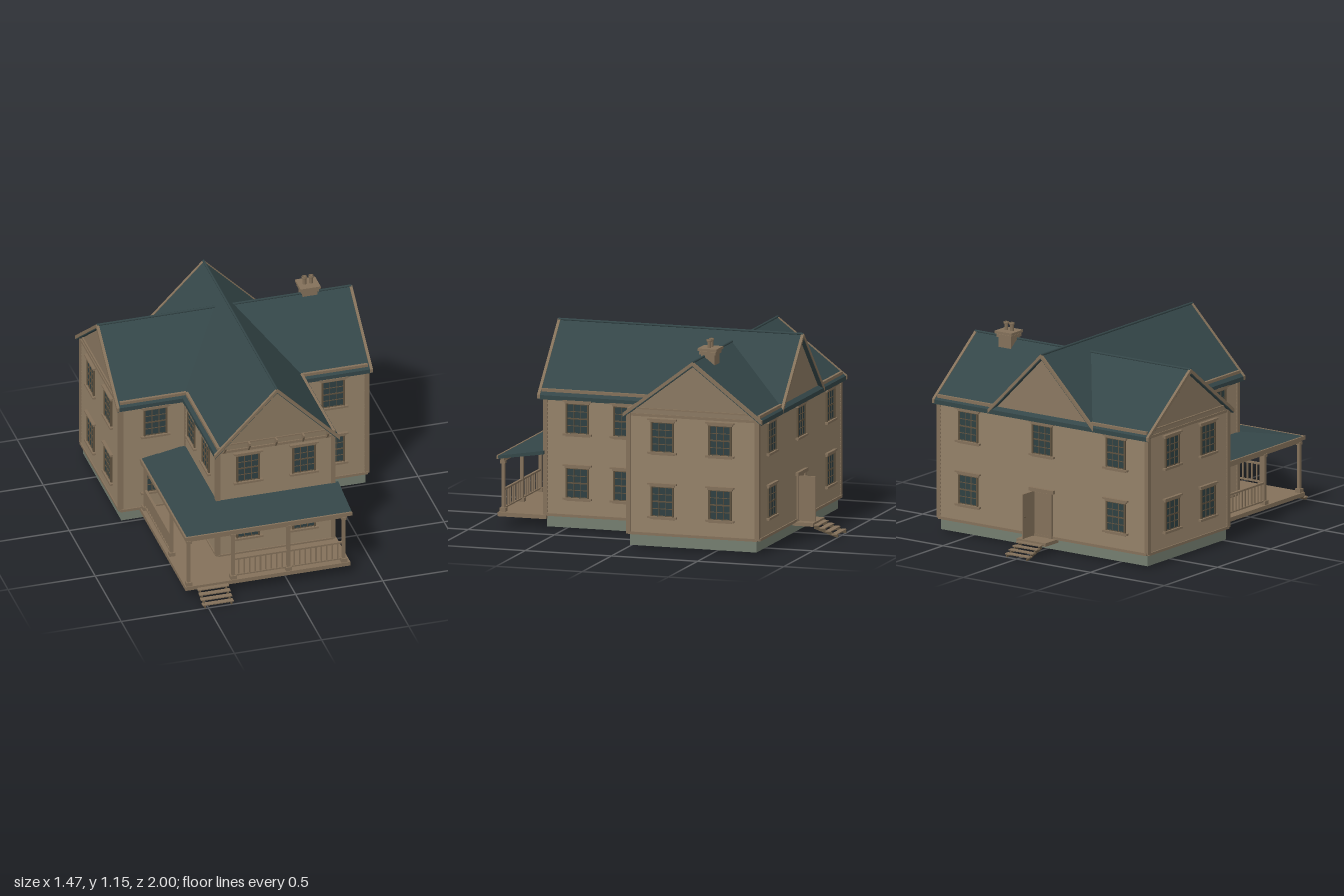
import * as THREE from 'three';

const mat = (name, color) => {
  const m = new THREE.MeshStandardMaterial({ color });
  m.name = name;
  return m;
};

export function createModel() {
  const siding = mat('siding', 0x8a7861);
  const trim = mat('trim', 0x84715a);
  const sash = mat('sash', 0x5f523f);
  const roof = mat('roof slate', 0x344648);
  const glass = mat('glass', 0x2f4042);
  const stone = mat('foundation', 0x747e70);
  const house = new THREE.Group();
  house.name = 'house';

  const add = (parent, name, geo, material) => {
    const m = new THREE.Mesh(geo, material);
    m.name = name;
    parent.add(m);
    return m;
  };
  // box given by its min and max along each axis
  const box = (parent, name, material, x0, x1, y0, y1, z0, z1) => {
    const m = add(parent, name, new THREE.BoxGeometry(x1 - x0, y1 - y0, z1 - z0), material);
    m.position.set((x0 + x1) / 2, (y0 + y1) / 2, (z0 + z1) / 2);
    return m;
  };
  const extrude = (pts, depth) => new THREE.ExtrudeGeometry(
    new THREE.Shape(pts.map(p => new THREE.Vector2(...p))), { depth, bevelEnabled: false });

  // foundation and wall cores
  box(house, 'mainFoundation', stone, -0.7, 0.7, 0.01, 0.08, -0.74, -0.005);
  box(house, 'frontFoundation', stone, -0.32, 0.32, 0.01, 0.08, -0.02, 0.605);
  box(house, 'mainWalls', siding, -0.705, 0.705, 0.075, 0.745, -0.75, 0);
  box(house, 'frontWalls', siding, -0.33, 0.33, 0.075, 0.745, -0.02, 0.61);

  // window on a wall whose outside is local +z
  const windowUnit = (parent, x, y) => {
    const g = new THREE.Group();
    g.name = 'window';
    g.position.set(x, y, 0.008);
    parent.add(g);
    box(g, 'pane', glass, -0.06, 0.06, -0.083, 0.083, 0, 0.004);
    for (const s of [-1, 1]) box(g, 'jamb', sash, s * 0.062 - 0.005, s * 0.062 + 0.005, -0.085, 0.085, 0, 0.01);
    for (const s of [-1, 1]) box(g, 'mullion', sash, s * 0.02 - 0.002, s * 0.02 + 0.002, -0.083, 0.083, 0, 0.007);
    for (const r of [-2, -1, 0, 1, 2]) {
      const h = r === 0 ? 0.004 : 0.002;
      box(g, 'glazingBar', sash, -0.06, 0.06, r * 0.04 - h, r * 0.04 + h, 0, 0.007);
    }
    box(g, 'header', trim, -0.072, 0.072, 0.083, 0.094, 0, 0.012);
    box(g, 'headerCap', trim, -0.083, 0.083, 0.094, 0.103, 0, 0.018);
    box(g, 'sill', trim, -0.083, 0.083, -0.094, -0.083, 0, 0.018);
    box(g, 'apron', trim, -0.068, 0.068, -0.1, -0.094, 0, 0.01);
  };

  // door standing open; hinge is -1 or 1 along local x
  const doorUnit = (parent, x, hinge) => {
    const g = new THREE.Group();
    g.name = 'door';
    g.position.set(x, 0.075, 0.008);
    parent.add(g);
    box(g, 'doorway', trim, -0.055, 0.055, 0, 0.25, 0, 0.004);
    for (const s of [-1, 1]) box(g, 'doorJamb', trim, s * 0.062 - 0.009, s * 0.062 + 0.009, 0, 0.26, 0, 0.012);
    box(g, 'doorHeader', trim, -0.083, 0.083, 0.255, 0.275, 0, 0.018);
    box(g, 'doorLeaf', trim, hinge * 0.057 - 0.004, hinge * 0.057 + 0.004, 0.003, 0.255, 0.005, 0.108);
    const knob = add(g, 'doorKnob', new THREE.SphereGeometry(0.005, 8, 6), sash);
    knob.position.set(hinge * 0.05, 0.125, 0.098);
  };

  // clapboard wall: saw-tooth profile drawn out along the wall
  const ROWS = 30, LOW = 0.085, HIGH = 0.74;
  const wall = (name, x, z, turn, length, upper, lower, door) => {
    const g = new THREE.Group();
    g.name = name;
    g.position.set(x, 0, z);
    g.rotation.y = turn;
    house.add(g);
    const pts = [[-0.004, LOW]], step = (HIGH - LOW) / ROWS;
    for (let i = 0; i < ROWS; i++) pts.push([0.008, LOW + i * step], [0.003, LOW + (i + 1) * step]);
    pts.push([-0.004, HIGH]);
    add(g, 'clapboards', extrude(pts, length).translate(0, 0, -length / 2).rotateY(-Math.PI / 2), siding);
    box(g, 'waterTable', trim, -length / 2, length / 2, 0.073, 0.088, 0, 0.014);
    box(g, 'frieze', trim, -length / 2, length / 2, 0.735, 0.75, 0, 0.01);
    upper.forEach(u => windowUnit(g, u, 0.625));
    lower.forEach(u => windowUnit(g, u, 0.265));
    if (door) doorUnit(g, ...door);
  };
  const Q = Math.PI / 2;
  wall('frontWall', 0, 0.61, 0, 0.66, [-0.16, 0.16], [-0.16, 0.16]);
  wall('leftFrontWall', 0.52, 0, 0, 0.38, [-0.01], [-0.01]);
  wall('rightFrontWall', -0.52, 0, 0, 0.38, [0.01], [0.01]);
  wall('leftWingWall', 0.33, 0.305, Q, 0.61, [-0.115, 0.16], [-0.115, 0.16]);
  wall('rightWingWall', -0.33, 0.305, -Q, 0.61, [0.115, -0.16], [0.115], [-0.16, -1]);
  wall('leftEndWall', 0.705, -0.375, Q, 0.75, [-0.175, 0.16], [-0.175, 0.16]);
  wall('rightEndWall', -0.705, -0.375, -Q, 0.75, [0.175, -0.16], [0.175, -0.16]);
  wall('backWall', 0, -0.75, Math.PI, 1.41, [-0.5, 0, 0.5], [-0.5, 0.5], [0, -1]);

  // corner boards
  for (const s of [-1, 1]) for (const [x, z] of [[0.705, -0.003], [0.705, -0.747], [0.33, 0.607], [0.33, 0.003]])
    box(house, 'cornerBoard', trim, s * x - 0.013, s * x + 0.013, 0.08, 0.75, z - 0.013, z + 0.013);

  // gable roof pieces: chevron section drawn along z
  const chevron = (half, ridge, eave, t) =>
    [[-half, eave], [-half, eave - t], [0, ridge - t], [half, eave - t], [half, eave], [0, ridge]];
  const gableRoof = (name, half, ridge, eave, z0, z1, wallHalf, w0, w1) => {
    const g = new THREE.Group();
    g.name = name;
    house.add(g);
    const slope = (ridge - eave) / half;
    add(g, 'roofSlopes', extrude(chevron(half, ridge, eave, 0.024), z1 - z0).translate(0, 0, z0), roof);
    for (const z of [z0 - 0.004, z1 - 0.012])
      add(g, 'bargeBoard', extrude(chevron(half + 0.003, ridge + 0.004, eave + 0.002, 0.022), 0.016).translate(0, 0, z), trim);
    const base = 0.742, top = base + wallHalf * slope;
    add(g, 'gableWall', extrude([[-wallHalf, base], [wallHalf, base], [0, top]], w1 - w0).translate(0, 0, w0), siding);
    const cap = add(g, 'ridgeCap', new THREE.CylinderGeometry(0.007, 0.007, z1 - z0, 8).rotateX(Q), roof);
    cap.position.set(0, ridge, (z0 + z1) / 2);
    return g;
  };
  gableRoof('frontToBackRoof', 0.355, 1.11, 0.748, -0.775, 0.645, 0.333, -0.755, 0.613);
  const cross = gableRoof('crossRoof', 0.4, 1.055, 0.75, -0.73, 0.73, 0.377, -0.71, 0.71);
  cross.rotation.y = Q;
  cross.position.z = -0.378;

  // gutters above the eaves, gable bands and brackets
  for (const s of [-1, 1]) {
    box(house, 'wingGutter', trim, s * 0.33 - 0.008, s * 0.33 + 0.008, 0.762, 0.782, 0.01, 0.63);
    for (const z of [0, -0.757])
      box(house, 'mainGutter', trim, s * 0.52 - 0.19, s * 0.52 + 0.19, 0.757, 0.777, z - 0.008, z + 0.008);
    box(house, 'gableBand', trim, s * 0.713 - 0.005, s * 0.713 + 0.005, 0.775, 0.783, -0.71, -0.045);
  }
  box(house, 'frontGableBand', trim, -0.3, 0.3, 0.78, 0.788, 0.61, 0.618);
  for (const x of [-0.295, -0.155, 0, 0.155, 0.295]) {
    const b = add(house, 'gableBracket', extrude([[0, 0.735], [0.008, 0.735], [0.034, 0.775], [0.034, 0.787], [0, 0.787]], 0.01)
      .translate(0, 0, -0.005).rotateY(-Q), trim);
    b.position.set(x, 0, 0.612);
  }

  // chimney
  box(house, 'chimneyStack', trim, 0.445, 0.53, 0.95, 1.07, -0.44, -0.36);
  box(house, 'chimneyCollar', trim, 0.437, 0.538, 1.065, 1.082, -0.448, -0.352);
  box(house, 'chimneyCap', trim, 0.43, 0.545, 1.086, 1.1, -0.456, -0.345);
  box(house, 'chimneyNeck', trim, 0.445, 0.53, 1.08, 1.09, -0.44, -0.36);
  for (const x of [0.467, 0.505]) {
    const pot = add(house, 'chimneyPot', new THREE.LatheGeometry(
      [[0.011, 1.09], [0.011, 1.135], [0.015, 1.135], [0.015, 1.147], [0.009, 1.147], [0.009, 1.12], [0, 1.12]]
        .map(p => new THREE.Vector2(...p)), 12), trim);
    pot.position.set(x, 0, -0.4);
  }

  // porch deck
  box(house, 'frontDeck', trim, -0.595, 0.35, 0.055, 0.078, 0.6, 0.88);
  box(house, 'sideDeck', trim, -0.595, -0.32, 0.055, 0.078, -0.005, 0.6);

  // porch roof: one section carried round the corner
  const section = (xi, zi, xo, zo) => [[xi, 0.438, zi], [xo, 0.395, zo], [xo, 0.378, zo], [xi, 0.418, zi]];
  const st = [section(-0.33, 0, -0.59, 0), section(-0.33, 0.61, -0.59, 0.875), section(0.36, 0.61, 0.36, 0.875)];
  const pos = [];
  const quad = (a, b, c, d) => pos.push(...a, ...b, ...c, ...a, ...c, ...d);
  for (let i = 0; i < 2; i++) for (let k = 0; k < 4; k++) {
    const n = (k + 1) % 4;
    quad(st[i][k], st[i][n], st[i + 1][n], st[i + 1][k]);
  }
  quad(st[0][0], st[0][3], st[0][2], st[0][1]);
  quad(...st[2]);
  const porchGeo = new THREE.BufferGeometry();
  porchGeo.setAttribute('position', new THREE.Float32BufferAttribute(pos, 3));
  porchGeo.computeVertexNormals();
  add(house, 'porchRoof', porchGeo, roof);
  box(house, 'frontFascia', trim, -0.597, 0.36, 0.376, 0.397, 0.872, 0.882);
  box(house, 'sideFascia', trim, -0.597, -0.587, 0.376, 0.397, 0, 0.882);
  box(house, 'frontBeam', trim, -0.58, 0.335, 0.36, 0.38, 0.848, 0.868);
  box(house, 'sideBeam', trim, -0.581, -0.561, 0.36, 0.38, 0.01, 0.868);

  // porch posts
  for (const [x, z] of [[-0.571, 0.858], [-0.317, 0.858], [0, 0.858], [0.317, 0.858], [-0.571, 0.53], [-0.571, 0.025]]) {
    const post = new THREE.Group();
    post.name = 'porchPost';
    post.position.set(x, 0, z);
    house.add(post);
    for (const [w, y0, y1] of [[0.017, 0.075, 0.1], [0.009, 0.1, 0.35], [0.014, 0.348, 0.365]])
      box(post, 'postPart', trim, -w, w, y0, y1, -w, w);
  }

  // railings between posts
  const railing = (x, z, turn, length) => {
    const g = new THREE.Group();
    g.name = 'railing';
    g.position.set(x, 0, z);
    g.rotation.y = turn;
    house.add(g);
    for (const [y, h] of [[0.2, 0.005], [0.098, 0.004]])
      box(g, 'rail', trim, -length / 2, length / 2, y - h, y + h, -0.007, 0.007);
    const n = Math.round(length / 0.03);
    for (let i = 1; i < n; i++) {
      const u = -length / 2 + i * length / n;
      box(g, 'baluster', trim, u - 0.0035, u + 0.0035, 0.1, 0.198, -0.0035, 0.0035);
    }
  };
  railing(-0.159, 0.858, 0, 0.31);
  railing(0.159, 0.858, 0, 0.31);
  railing(-0.571, 0.278, Q, 0.5);

  // open stairs rising towards local -z
  const stairs = (name, x, z, turn, width, run) => {
    const g = new THREE.Group();
    g.name = name;
    g.position.set(x, 0, z);
    g.rotation.y = turn;
    house.add(g);
    for (let i = 0; i < 4; i++) {
      const y = 0.064 - i * 0.0145, d = i * run / 4;
      box(g, 'tread', trim, -width / 2, width / 2, y - 0.006, y, d, d + run / 4 - 0.002);
    }
    for (const s of [-1, 1]) {
      const str = add(g, 'stringer', extrude([[0, 0.062], [0, 0.04], [run - 0.012, 0], [run, 0], [run, 0.012]], 0.008)
        .translate(0, 0, -0.004).rotateY(-Q), sash);
      str.position.x = s * (width / 2 - 0.014);
    }
  };
  stairs('frontStairs', -0.442, 0.878, 0, 0.178, 0.122);
  box(house, 'backLanding', trim, -0.098, 0.098, 0.055, 0.075, -0.865, -0.745);
  stairs('backStairs', 0, -0.862, Math.PI, 0.165, 0.138);

  return house;
}
